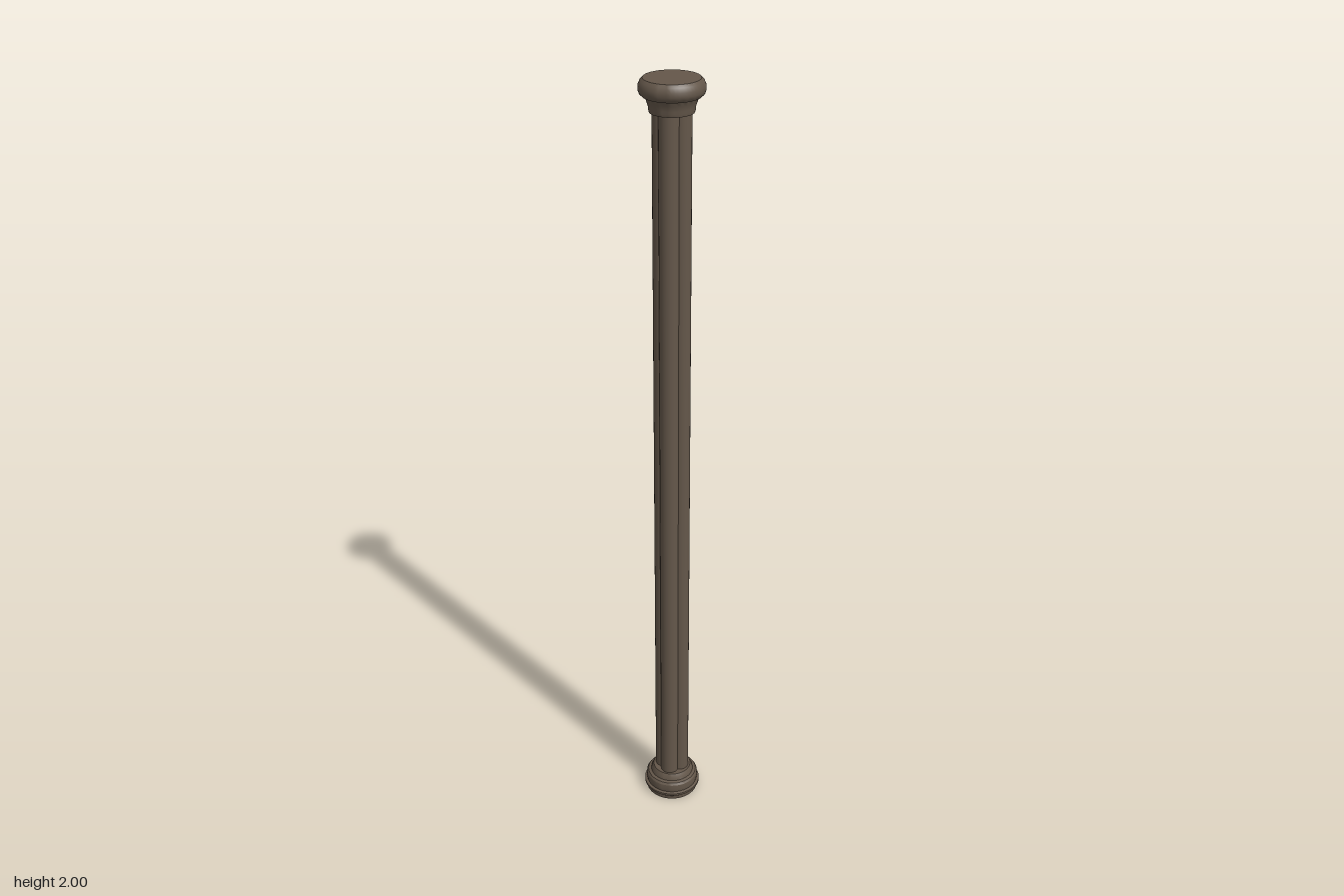
import * as THREE from 'three';
import { toCreasedNormals } from 'three/addons/utils/BufferGeometryUtils.js';

export function createModel() {
  const group = new THREE.Group();
  const stone = new THREE.MeshStandardMaterial({ color: 0x64574a });
  stone.name = 'brown stone';

  const add = (name, geometry, x = 0, y = 0, z = 0) => {
    const mesh = new THREE.Mesh(geometry, stone);
    mesh.name = name;
    mesh.position.set(x, y, z);
    group.add(mesh);
  };

  // Closed turned moulding, profile listed from bottom to top
  const turned = (profile) => toCreasedNormals(
    new THREE.LatheGeometry(profile.map(([r, y]) => new THREE.Vector2(r, y)), 48), 0.5);

  // Base: foot with a thin lip, drum and sloping collar
  add('base', turned([
    [0, 0], [0.07, 0], [0.072, 0.012], [0.076, 0.016], [0.076, 0.022], [0.069, 0.024],
    [0.071, 0.035], [0.07, 0.047], [0.066, 0.053], [0.058, 0.055], [0.056, 0.064],
    [0.051, 0.073], [0, 0.073],
  ]));

  // Shaft: four overlapping round colonnettes
  const radius = 0.024, offset = 0.022, bottom = 0.06, top = 1.94;
  for (let i = 0; i < 4; i++) {
    const a = i * Math.PI / 2;
    add('colonnette' + (i + 1),
      new THREE.CylinderGeometry(radius, radius, top - bottom, 24),
      Math.cos(a) * offset, (top + bottom) / 2, Math.sin(a) * offset);
  }

  // Capital: flared neck under a rounded disc
  add('capital', turned([
    [0, 1.925], [0.051, 1.925], [0.053, 1.932], [0.053, 1.938], [0.057, 1.95],
    [0.061, 1.96], [0.067, 1.961], [0.073, 1.967], [0.0755, 1.974], [0.0755, 1.984],
    [0.071, 1.994], [0.065, 2], [0, 2],
  ]));

  return group;
}
